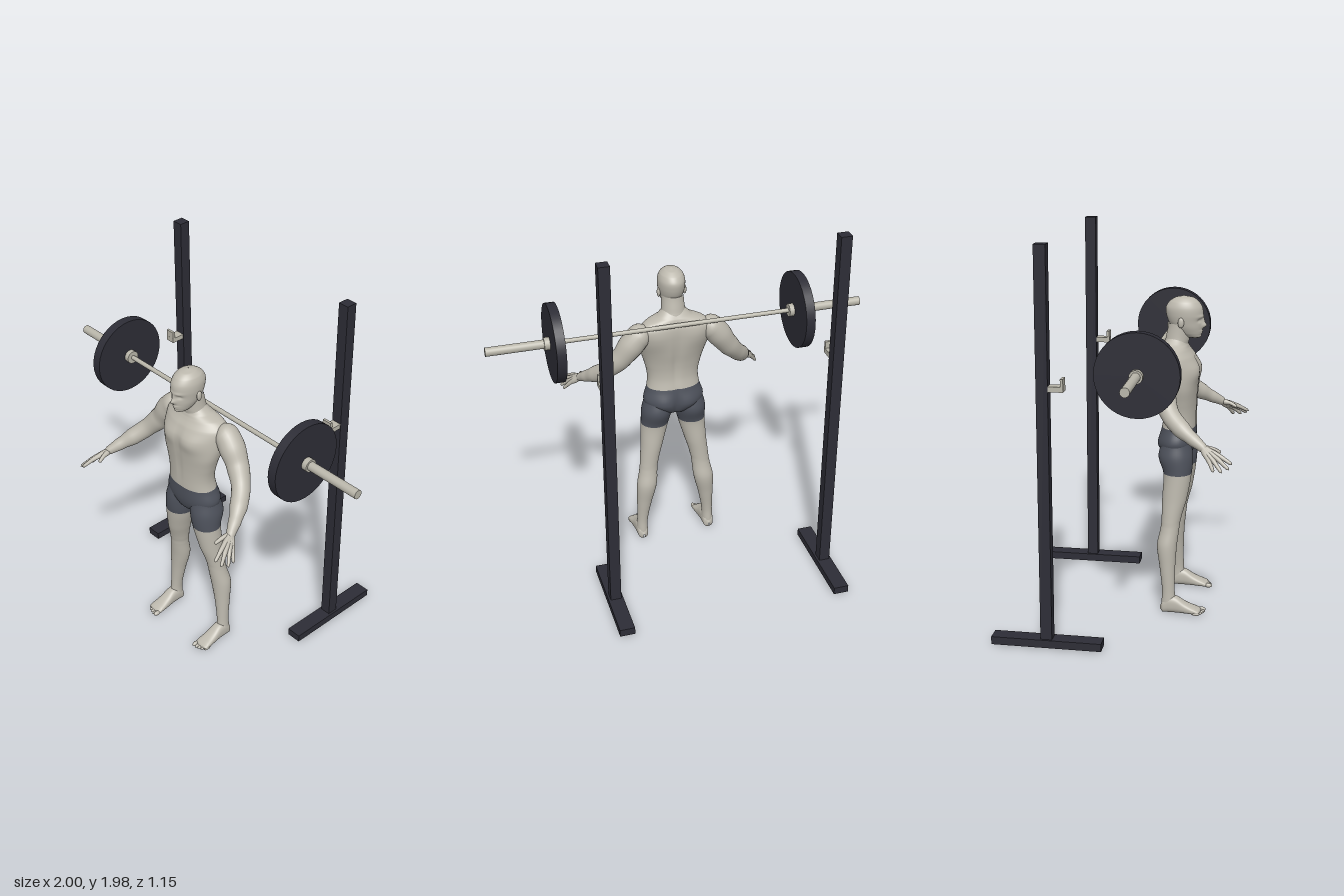
import * as THREE from 'three';
import { mergeVertices } from 'three/addons/utils/BufferGeometryUtils.js';

const paint = (name, color) => {
  const m = new THREE.MeshStandardMaterial({ color });
  m.name = name;
  return m;
};

// Smooth value through control rows (Catmull-Rom)
const spline = (a, b, c, d, t) =>
  b + 0.5 * t * (c - a + t * (2 * a - 5 * b + 4 * c - d + t * (3 * (b - c) + d - a)));

// Loft through rows of [height, centreX, halfWidth, zFront, zBack].
// bumps: [x, y, spreadX, spreadY, amount, side] with side 1 = front, -1 = back.
function loft(rows, { seg = 40, sub = 6, power = 1, split = null, bumps = [], bend = null } = {}) {
  const rings = [];
  for (let i = 0; i < rows.length - 1; i++) {
    const q = [rows[Math.max(i - 1, 0)], rows[i], rows[i + 1], rows[Math.min(i + 2, rows.length - 1)]];
    for (let k = 0; k < sub; k++) {
      const r = rows[0].map((_, n) => spline(q[0][n], q[1][n], q[2][n], q[3][n], k / sub));
      r[0] = THREE.MathUtils.lerp(q[1][0], q[2][0], k / sub);
      rings.push(r);
    }
  }
  rings.push(rows[rows.length - 1]);
  const pos = [], low = [], high = [];
  const curve = (v) => Math.sign(v) * Math.abs(v) ** power;
  rings.forEach(([y, cx, w, f, b], i) => {
    for (let j = 0; j < seg; j++) {
      const a = (j / seg) * Math.PI * 2, s = Math.sin(a);
      const x = cx + Math.max(w, 0.001) * curve(Math.cos(a));
      let z = (f + b) / 2 + ((f - b) / 2) * curve(s);
      for (const [bx, by, sx, sy, amt, side] of bumps) {
        const g = Math.exp(-(((Math.abs(x) - bx) / sx) ** 2) - ((y - by) / sy) ** 2);
        z += side * amt * g * Math.min(1, Math.max(0, side * s * 1.5));
      }
      if (bend) z -= bend(x, y);
      pos.push(x, y, z);
      if (i === rings.length - 1) continue;
      const n = (j + 1) % seg, p = i * seg, u = p + seg;
      const list = split !== null && (y + rings[i + 1][0]) / 2 > split ? high : low;
      list.push(p + j, u + j, p + n, u + j, u + n, p + n);
    }
  });
  const g = new THREE.BufferGeometry();
  g.setAttribute('position', new THREE.Float32BufferAttribute(pos, 3));
  g.setIndex([...low, ...high]);
  g.addGroup(0, low.length, 0);
  g.addGroup(low.length, high.length, 1);
  g.computeVertexNormals();
  return g;
}

// Tapered tube through [x, y, z, radius] points
function limb(pts, side, n = 30, seg = 20) {
  const path = new THREE.CatmullRomCurve3(pts.map((p) => new THREE.Vector3(p[0] * side, p[1], p[2])));
  let g = new THREE.TubeGeometry(path, n, 1, seg);
  const pos = g.attributes.position, v = new THREE.Vector3();
  for (let i = 0; i <= n; i++) {
    const c = path.getPointAt(i / n);
    const t = path.getUtoTmapping(i / n) * (pts.length - 1);
    const k = Math.min(Math.floor(t), pts.length - 2);
    const f = THREE.MathUtils.smoothstep(t - k, 0, 1);
    const r = THREE.MathUtils.lerp(pts[k][3], pts[k + 1][3], f);
    for (let j = 0; j <= seg; j++) {
      const id = i * (seg + 1) + j;
      v.fromBufferAttribute(pos, id).sub(c).multiplyScalar(r).add(c);
      pos.setXYZ(id, v.x, v.y, v.z);
    }
  }
  g.deleteAttribute('normal');
  g.deleteAttribute('uv');
  g = mergeVertices(g, 1e-5);
  g.computeVertexNormals();
  return g;
}

export function createModel() {
  const skin = paint('skin', 0xbdb9ae);
  const cloth = paint('shorts cloth', 0x4e525c);
  const dark = paint('dark rack paint', 0x2d2d36);
  const steel = paint('steel', 0xb9b6aa);
  const model = new THREE.Group();
  const figure = new THREE.Group(), rack = new THREE.Group(), barbell = new THREE.Group();
  figure.name = 'figure';
  rack.name = 'rack';
  barbell.name = 'barbell';
  model.add(figure, rack, barbell);

  const add = (parent, name, geo, mat, x = 0, y = 0, z = 0) => {
    const m = new THREE.Mesh(geo, mat);
    m.name = name;
    m.position.set(x, y, z);
    parent.add(m);
    return m;
  };
  const box = (parent, name, mat, w, h, d, x, y, z) =>
    add(parent, name, new THREE.BoxGeometry(w, h, d), mat, x, y, z);
  const blob = (name, rx, ry, rz, x, y, z) =>
    add(figure, name, new THREE.SphereGeometry(1, 20, 14), skin, x, y, z).scale.set(rx, ry, rz);

  // Rack: foot, upright and bar hook on each side
  for (const x of [-0.698, 0.484]) {
    box(rack, 'rackFoot', dark, 0.08, 0.04, 0.55, x, 0.022, -0.3);
    box(rack, 'upright', dark, 0.057, 1.935, 0.057, x, 1.0075, -0.3);
    box(rack, 'hookBase', steel, 0.052, 0.026, 0.075, x, 1.302, -0.236);
    box(rack, 'hookLip', steel, 0.052, 0.06, 0.014, x, 1.322, -0.206);
  }

  // Barbell
  const rod = (name, mat, r, x0, x1, seg = 24) =>
    add(barbell, name, new THREE.CylinderGeometry(r, r, Math.abs(x1 - x0), seg).rotateZ(Math.PI / 2),
      mat, (x0 + x1) / 2, 1.37, 0.138);
  rod('bar', steel, 0.012, -0.62, 0.62, 16);
  for (const s of [-1, 1]) {
    rod('innerCollar', steel, 0.034, s * 0.6, s * 0.626);
    rod('plate', dark, 0.204, s * 0.626, s * 0.675, 40);
    rod('outerCollar', steel, 0.033, s * 0.675, s * 0.704);
    rod('sleeve', steel, 0.023, s * 0.61, s);
  }

  // Torso with the upper half of the shorts
  add(figure, 'torso', loft([
    [0.785, 0, 0.005, 0.26, 0.24], [0.82, 0, 0.09, 0.32, 0.18], [0.88, 0, 0.163, 0.34, 0.157],
    [0.968, 0, 0.144, 0.343, 0.168], [1.03, 0, 0.139, 0.343, 0.178], [1.1, 0, 0.152, 0.345, 0.175],
    [1.2, 0, 0.18, 0.352, 0.158], [1.28, 0, 0.195, 0.352, 0.15], [1.335, 0, 0.195, 0.33, 0.15],
    [1.372, 0, 0.155, 0.305, 0.16], [1.395, 0, 0.092, 0.295, 0.17], [1.44, 0, 0.05, 0.28, 0.2],
  ], {
    seg: 64, split: 0.968, power: 0.9,
    bend: (x, y) => x * x * 0.9 * THREE.MathUtils.smoothstep(y, 1.15, 1.3),
    bumps: [
      [0.085, 1.26, 0.065, 0.05, 0.016, 1], [0, 1.27, 0.014, 0.07, -0.006, 1],
      [0, 1.1, 0.01, 0.1, -0.005, 1], [0.075, 0.875, 0.05, 0.055, 0.012, -1],
      [0, 0.87, 0.014, 0.06, -0.014, -1], [0, 1.14, 0.018, 0.16, -0.012, -1],
      [0.1, 1.29, 0.06, 0.07, 0.007, -1],
    ],
  }), [cloth, skin]);

  // Neck and head
  add(figure, 'neck', loft([
    [1.34, 0, 0.1, 0.3, 0.165], [1.385, 0, 0.076, 0.295, 0.172], [1.42, 0, 0.063, 0.302, 0.18],
    [1.5, 0, 0.058, 0.31, 0.195],
  ]), skin);
  add(figure, 'head', loft([
    [1.422, 0, 0.004, 0.34, 0.32], [1.43, 0, 0.03, 0.356, 0.28], [1.45, 0, 0.046, 0.362, 0.24],
    [1.48, 0, 0.059, 0.365, 0.212], [1.51, 0, 0.066, 0.366, 0.193], [1.545, 0, 0.071, 0.37, 0.182],
    [1.58, 0, 0.07, 0.366, 0.18], [1.61, 0, 0.059, 0.348, 0.198], [1.63, 0, 0.037, 0.32, 0.228],
    [1.64, 0, 0.001, 0.272, 0.27],
  ], {
    seg: 72, sub: 8,
    bumps: [
      [0, 1.49, 0.012, 0.014, 0.022, 1], [0, 1.514, 0.009, 0.017, 0.011, 1],
      [0.025, 1.537, 0.022, 0.008, 0.005, 1], [0.028, 1.518, 0.014, 0.01, -0.009, 1],
      [0, 1.461, 0.02, 0.005, 0.006, 1], [0, 1.451, 0.018, 0.005, 0.005, 1],
      [0, 1.433, 0.018, 0.008, 0.004, 1],
    ],
  }), skin);

  // Wrist and finger tips, little finger to index, then thumb
  const wrist = [0.468, 0.982, 0.425];
  const tips = [
    [0.556, 0.887, 0.49], [0.562, 0.887, 0.53], [0.548, 0.9, 0.563], [0.517, 0.918, 0.575],
    [0.448, 0.955, 0.515],
  ];

  for (const s of [-1, 1]) {
    blob('ear', 0.009, 0.026, 0.016, s * 0.07, 1.51, 0.265);
    blob('eye', 0.011, 0.008, 0.01, s * 0.028, 1.517, 0.336);

    // Arm
    add(figure, 'arm', limb([
      [0.13, 1.33, 0.205, 0.03], [0.19, 1.31, 0.2, 0.064], [0.235, 1.26, 0.203, 0.067],
      [0.29, 1.183, 0.215, 0.057], [0.355, 1.105, 0.255, 0.047], [0.4, 1.055, 0.31, 0.045],
      [0.438, 1.015, 0.37, 0.033], [...wrist, 0.024], [0.485, 0.965, 0.445, 0.012],
    ], s, 48, 24), skin);

    // Hand
    const at = (tip, t, lift = 0) => wrist.map((w, i) => w + (tip[i] - w) * t + (i === 1 ? lift : 0));
    tips.forEach((tip, i) => {
      const thick = i === 4 ? 0.9 : 1;
      add(figure, i === 4 ? 'thumb' : 'finger', limb([
        [...wrist, 0.016], [...at(tip, 0.3, 0.002), 0.016 * thick], [...at(tip, 0.55, 0.006), 0.012 * thick],
        [...at(tip, 0.8, 0.003), 0.0095], [...at(tip, 0.96), 0.008], [...tip, 0.001],
      ], s, 18, 10), skin);
    });

    // Leg with the lower half of the shorts
    add(figure, 'leg', loft([
      [0.04, 0.193, 0.031, 0.268, 0.193], [0.12, 0.19, 0.03, 0.262, 0.196], [0.25, 0.178, 0.042, 0.262, 0.18],
      [0.36, 0.164, 0.055, 0.268, 0.165], [0.45, 0.151, 0.05, 0.278, 0.181], [0.5, 0.144, 0.051, 0.286, 0.185],
      [0.6, 0.126, 0.06, 0.312, 0.185], [0.735, 0.104, 0.075, 0.333, 0.187], [0.82, 0.094, 0.083, 0.338, 0.16],
      [0.9, 0.08, 0.08, 0.325, 0.175],
    ].map(([y, x, ...r]) => [y, x * s, ...r]), { split: 0.735 }), [skin, cloth]);

    // Foot, lofted heel to toe and laid flat
    add(figure, 'foot', loft([
      [0.186, 0, 0.004, -0.015, -0.03], [0.2, 0, 0.026, 0, -0.062], [0.23, 0, 0.032, 0, -0.09],
      [0.27, 0, 0.034, 0, -0.088], [0.32, 0, 0.038, 0, -0.058], [0.37, 0, 0.042, 0, -0.036],
      [0.392, 0, 0.039, -0.002, -0.026], [0.4, 0, 0.01, -0.01, -0.018],
    ], { power: 0.8 }).rotateX(Math.PI / 2), skin, s * 0.193);
    for (let i = 0; i < 5; i++) {
      const r = i === 0 ? 0.012 : 0.0085;
      blob('toe', r, r, 0.022, s * (0.162 + i * 0.0165), r, 0.401 - i * i * 0.0015);
    }
  }
  return model;
}
